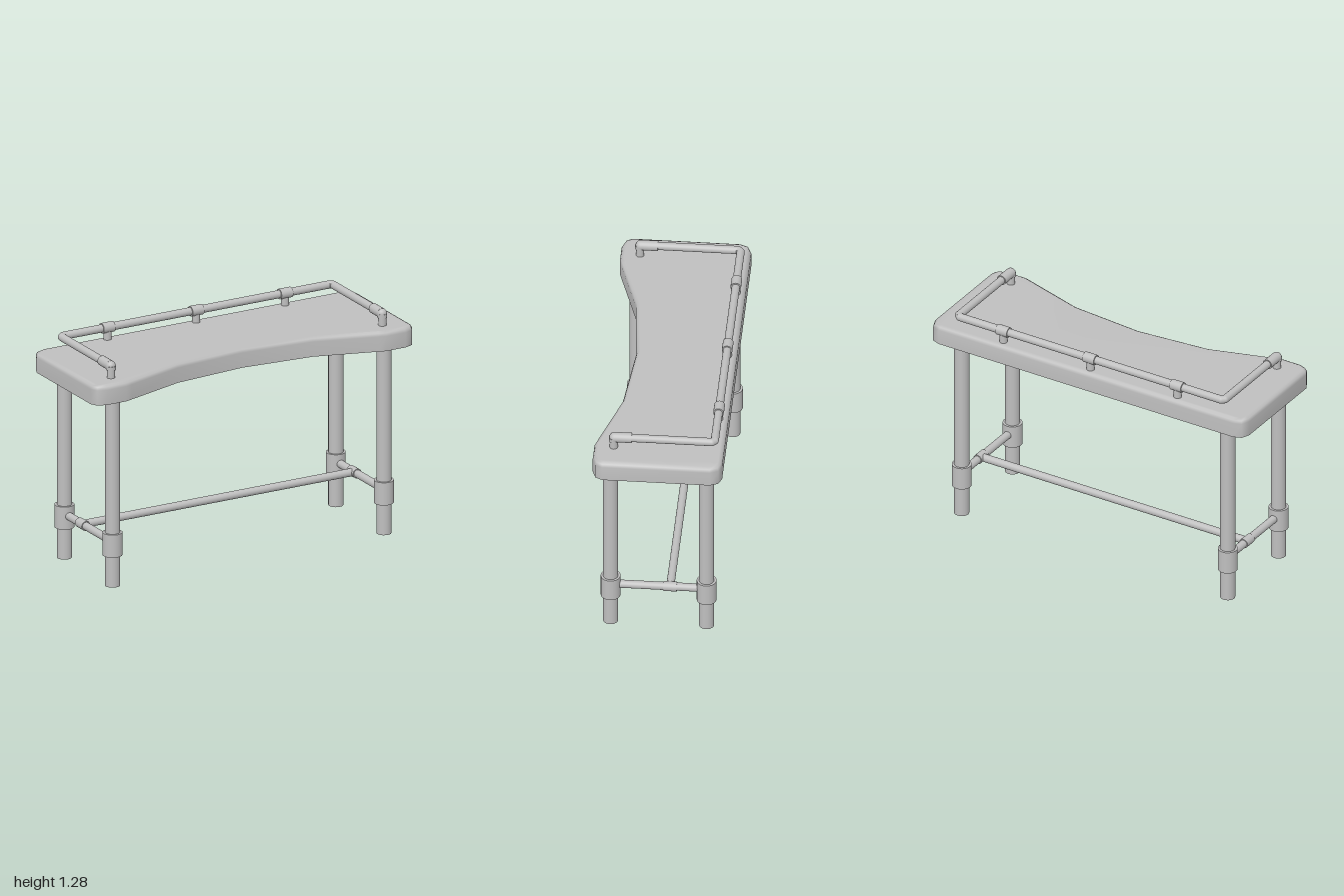
import * as THREE from 'three';

const metal = new THREE.MeshStandardMaterial({ color: 0xbfbfbf });
metal.name = 'light grey';

export function createModel() {
  const model = new THREE.Group();
  model.name = 'pipeTable';
  const V = (x, y, z) => new THREE.Vector3(x, y, z);

  function add(name, geometry) {
    const mesh = new THREE.Mesh(geometry, metal);
    mesh.name = name;
    model.add(mesh);
    return mesh;
  }

  // straight round pipe between two points
  function pipe(name, a, b, r, open = false) {
    const mesh = add(name, new THREE.CylinderGeometry(r, r, a.distanceTo(b), 20, 1, open));
    mesh.position.copy(a).lerp(b, 0.5);
    mesh.quaternion.setFromUnitVectors(V(0, 1, 0), b.clone().sub(a).normalize());
  }

  function ball(name, p, r) {
    add(name, new THREE.SphereGeometry(r, 16, 10)).position.copy(p);
  }

  // table top: half outline (x, z), mirrored, then stacked in rings
  const half = [
    [0.935, -0.352], [0.98, -0.335], [1, -0.29], [1, 0.295], [0.98, 0.332], [0.93, 0.35],
    [0.81, 0.35], [0.77, 0.338], [0.42, 0.23], [0, 0.193],
  ];
  const outline = [...half, ...half.slice(0, -1).reverse().map(([x, z]) => [-x, z])]
    .map(([x, z]) => new THREE.Vector2(x, z));
  const n = outline.length;
  const inset = (d) => outline.map((p, i) => {
    const edgeNormal = (a, b) => new THREE.Vector2(b.y - a.y, a.x - b.x).normalize();
    const n1 = edgeNormal(outline[(i + n - 1) % n], p);
    const n2 = edgeNormal(p, outline[(i + 1) % n]);
    const m = n1.clone().add(n2).normalize();
    return p.clone().addScaledVector(m, -d / m.dot(n1));
  });
  const faces = THREE.ShapeUtils.triangulateShape(outline, []);

  function surface(name, rings, index) {
    const g = new THREE.BufferGeometry();
    const pos = rings.flatMap(([d, y]) => inset(d).flatMap((p) => [p.x, y, p.y]));
    g.setAttribute('position', new THREE.Float32BufferAttribute(pos, 3));
    g.setIndex(index);
    g.computeVertexNormals();
    add(name, g);
  }

  const rings = [[0, 1.075], [0, 1.16], [0.007, 1.176], [0.022, 1.185]];
  const index = [];
  for (let k = 0; k < rings.length - 1; k++) {
    for (let i = 0; i < n; i++) {
      const j = (i + 1) % n, lo = k * n, hi = lo + n;
      index.push(lo + i, hi + i, lo + j, lo + j, hi + i, hi + j);
    }
  }
  const last = (rings.length - 1) * n;
  faces.forEach(([a, b, c]) => index.push(last + a, last + c, last + b));
  surface('tableTop', rings, index);
  surface('tableUnderside', [[0, 1.075]], faces.flat());

  const X = 0.845, legZ = 0.26, barY = 0.25, barZ = -0.063;
  const railY = 1.252, railZ = -0.303, frontZ = 0.243, r = 0.022;

  for (const s of [-1, 1]) {
    const x = s * X;
    // legs, open at the foot, with collars
    for (const z of [-legZ, legZ]) {
      pipe('leg', V(x, 0, z), V(x, 1.08, z), 0.041, true);
      pipe('legCollar', V(x, 0.175, z), V(x, 0.305, z), 0.054);
    }
    // side bar with the joint for the long bar
    pipe('sideBar', V(x, barY, -legZ), V(x, barY, legZ), r);
    pipe('sideBarJoint', V(x, barY, barZ - 0.036), V(x, barY, barZ + 0.036), 0.027);

    // guard rail side, corner and front elbow
    pipe('sideRail', V(x, railY, railZ + 0.015), V(x, railY, frontZ), r);
    pipe('railCorner', V(x, railY, railZ + 0.015), V(x - s * 0.015, railY, railZ), r);
    ball('railCornerBend', V(x, railY, railZ + 0.015), r);
    ball('railCornerBend', V(x - s * 0.015, railY, railZ), r);
    pipe('elbowSleeve', V(x, railY, 0.145), V(x, railY, frontZ - 0.005), 0.028);
    ball('elbowBend', V(x, railY - 0.001, frontZ - 0.004), 0.0285);
    pipe('elbowSocket', V(x, 1.23, frontZ), V(x, railY, frontZ), 0.027);
    pipe('frontPost', V(x, 1.18, frontZ), V(x, railY, frontZ), r);
  }

  pipe('longBar', V(-X, barY, barZ), V(X, barY, barZ), r);
  pipe('backRail', V(-X + 0.015, railY, railZ), V(X - 0.015, railY, railZ), r);

  // back rail supports
  for (const x of [-0.553, 0, 0.553]) {
    pipe('railSleeve', V(x - 0.036, railY, railZ), V(x + 0.036, railY, railZ), 0.029);
    pipe('railPost', V(x, 1.18, railZ), V(x, railY, railZ), r);
  }

  return model;
}
